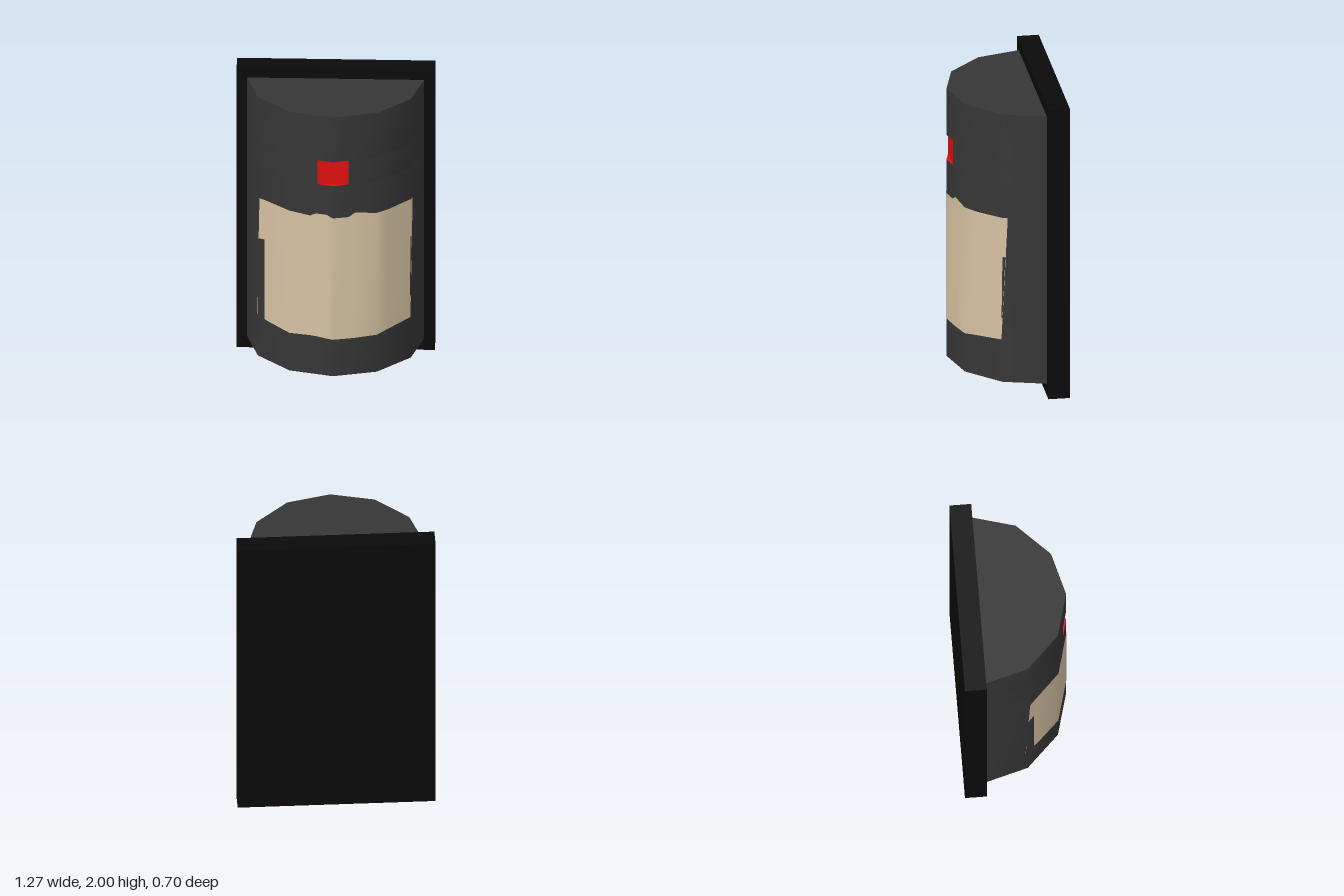
import * as THREE from 'three';

const mat = (name, color, side = THREE.FrontSide) => {
  const m = new THREE.MeshStandardMaterial({ color, side });
  m.name = name;
  return m;
};

// Half outline of the faceted body as [x, z], from the front ridge to the backplate
const HALF = [[0, 0.35], [0.28, 0.275], [0.49, 0.065], [0.57, -0.22]];
const BOTTOM = 0.08, TOP = 1.93;
const SLOT = { x: 0.1, low: 1.44, high: 1.61 };

// Depth of the body surface at a given x
function depthAt(x) {
  const a = Math.abs(x);
  const i = a <= HALF[1][0] ? 0 : a <= HALF[2][0] ? 1 : 2;
  const [p, q] = [HALF[i], HALF[i + 1]];
  return p[1] + (q[1] - p[1]) * (a - p[0]) / (q[0] - p[0]);
}

// Upright strip over the body surface; columns are [xLow, yLow, xHigh, yHigh]
function ribbon(columns, lift = 0) {
  const pos = [], index = [];
  columns.forEach(([xl, yl, xh, yh], i) => {
    const s = 1 + lift;
    pos.push(xl * s, yl, depthAt(xl) + lift, xh * s, yh, depthAt(xh) + lift);
    if (i) {
      const a = 2 * i - 2;
      index.push(a, a + 2, a + 3, a, a + 3, a + 1);
    }
  });
  const g = new THREE.BufferGeometry();
  g.setAttribute('position', new THREE.Float32BufferAttribute(pos, 3));
  g.setIndex(index);
  g.computeVertexNormals();
  return g;
}

export function createModel() {
  const group = new THREE.Group();
  const black = mat('black', 0x0a0a0a);
  const charcoal = mat('charcoal', 0x363636);
  const cream = mat('cream', 0xd6c2a2, THREE.DoubleSide);
  const red = mat('red', 0xe01010, THREE.DoubleSide);
  const add = (name, geometry, material) => {
    const m = new THREE.Mesh(geometry, material);
    m.name = name;
    group.add(m);
    return m;
  };

  // Backplate
  add('backplate', new THREE.BoxGeometry(1.27, 2, 0.14), black).position.set(0, 1, -0.28);

  // Body walls, leaving the slot open
  const xs = [-0.57, -0.49, -0.28, -SLOT.x, 0, SLOT.x, 0.28, 0.49, 0.57];
  const wall = (name, list, low, high) =>
    add(name, ribbon(list.map(x => [x, low, x, high])), charcoal);
  wall('lowerWall', xs, BOTTOM, SLOT.low);
  wall('upperWall', xs, SLOT.high, TOP);
  wall('rightMiddleWall', xs.slice(0, 4), SLOT.low, SLOT.high);
  wall('leftMiddleWall', xs.slice(5), SLOT.low, SLOT.high);

  // Body end caps
  const outline = [...HALF.slice(1).reverse().map(([x, z]) => [-x, z]), ...HALF];
  for (const up of [true, false]) {
    const shape = new THREE.Shape(outline.map(([x, z]) => new THREE.Vector2(x, up ? -z : z)));
    const cap = add(up ? 'topCap' : 'bottomCap', new THREE.ShapeGeometry(shape), charcoal);
    cap.rotation.x = up ? -Math.PI / 2 : Math.PI / 2;
    cap.position.y = up ? TOP : BOTTOM;
  }

  // Red slot: flat floor with small ledges above and below
  const floorZ = depthAt(SLOT.x);
  add('slotFloor', new THREE.PlaneGeometry(2 * SLOT.x, SLOT.high - SLOT.low), red)
    .position.set(0, (SLOT.low + SLOT.high) / 2, floorZ);
  const ledge = new THREE.Shape([[-SLOT.x, floorZ], [SLOT.x, floorZ], [0, depthAt(0)]]
    .map(([x, z]) => new THREE.Vector2(x, z)));
  for (const y of [SLOT.low, SLOT.high]) {
    const m = add('slotLedge', new THREE.ShapeGeometry(ledge), red);
    m.rotation.x = Math.PI / 2;
    m.position.y = y;
  }

  // Paper label with uneven edges, wrapped over the front facets
  add('paperLabel', ribbon([
    [-0.495, 0.37, -0.477, 1.213],
    [-0.42, 0.36, -0.42, 1.218],
    [-0.28, 0.35, -0.28, 1.225],
    [-0.145, 0.354, -0.145, 1.21],
    [-0.11, 0.352, -0.11, 1.23],
    [-0.04, 0.345, -0.04, 1.23],
    [0, 0.342, 0, 1.21],
    [0.1, 0.34, 0.1, 1.208],
    [0.14, 0.34, 0.14, 1.235],
    [0.28, 0.346, 0.28, 1.218],
    [0.35, 0.356, 0.35, 1.21],
    [0.48, 0.372, 0.49, 1.216],
    [0.487, 0.375, 0.5, 1.214],
  ], 0.003), cream);

  return group;
}
